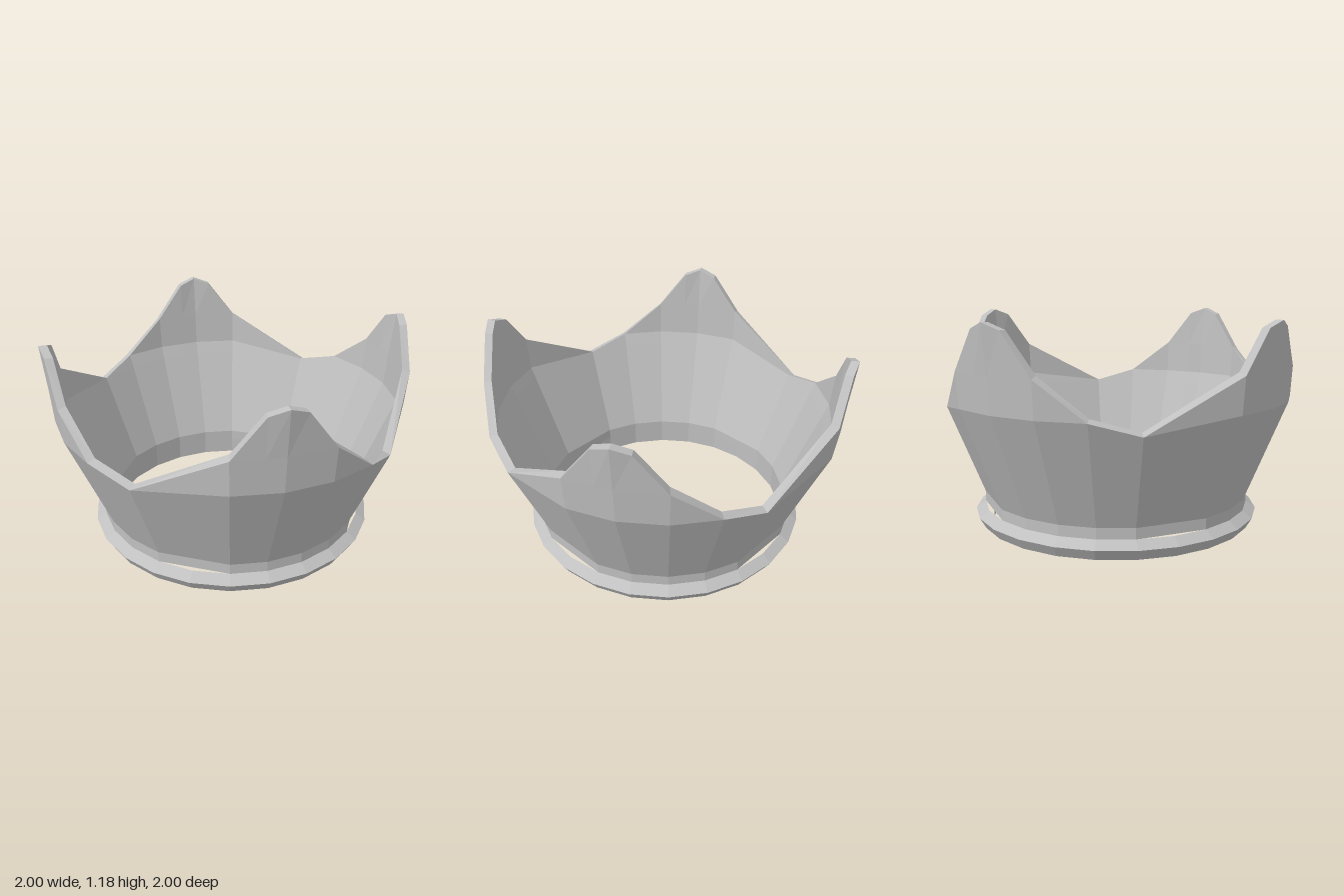
import * as THREE from 'three';

const WALL = 0.045;
const ROWS = [0.1, 0.16, 0.665, 0.735, 0.93, 1.185];
// wall outline: height, outer radius
const PROFILE = [[0.1, 0.77], [0.16, 0.77], [0.665, 0.972], [0.735, 1.0], [0.93, 1.015], [1.15, 1.03], [1.185, 1.04]];
// one point of the crown: angle from its peak in degrees, rim height
const POINT = [[-15, 0.93], [-5.5, 1.15], [0, 1.185], [5.5, 1.15], [15, 0.93], [30, 0.735], [45, 0.665]];

function radiusAt(y) {
  for (let i = 1; i < PROFILE.length; i++) {
    const [y0, r0] = PROFILE[i - 1], [y1, r1] = PROFILE[i];
    if (y <= y1 + 1e-6) return r0 + (r1 - r0) * (y - y0) / (y1 - y0);
  }
  return PROFILE[PROFILE.length - 1][1];
}

function wallGeometry() {
  const outer = [], inner = [];
  for (let k = 0; k < 4; k++) {
    for (const [offset, top] of POINT) {
      const a = THREE.MathUtils.degToRad(-30 + 90 * k + offset);
      // columns between the 24 main ones lie on the straight facet
      const flat = Math.abs(offset) === 5.5 ? 0.992 : 1;
      const column = (inset, lift) => ROWS.map((row) => {
        const y = Math.min(row, top);
        const r = radiusAt(y) * flat - inset;
        const up = y > 0.2 && y < 1 ? lift : 0;
        return new THREE.Vector3(r * Math.sin(a), y + up, r * Math.cos(a));
      });
      outer.push(column(0, 0));
      inner.push(column(WALL, 0.014));
    }
  }
  const positions = [];
  const tri = (a, b, c) => {
    if (a.distanceTo(b) < 1e-5 || b.distanceTo(c) < 1e-5 || c.distanceTo(a) < 1e-5) return;
    for (const p of [a, b, c]) positions.push(p.x, p.y, p.z);
  };
  const quad = (a, b, c, d) => { tri(a, b, c); tri(a, c, d); };
  const last = ROWS.length - 1;
  for (let i = 0; i < outer.length; i++) {
    const n = (i + 1) % outer.length;
    for (let j = 0; j < last; j++) {
      quad(outer[i][j], outer[n][j], outer[n][j + 1], outer[i][j + 1]);
      quad(inner[n][j], inner[i][j], inner[i][j + 1], inner[n][j + 1]);
    }
    // rim joining the two sides
    quad(outer[i][last], outer[n][last], inner[n][last], inner[i][last]);
  }
  const geometry = new THREE.BufferGeometry();
  geometry.setAttribute('position', new THREE.Float32BufferAttribute(positions, 3));
  geometry.computeVertexNormals();
  return geometry;
}

export function createModel() {
  const group = new THREE.Group();
  group.name = 'crown';
  const grey = new THREE.MeshStandardMaterial({ color: 0xc0c0c0, flatShading: true });
  grey.name = 'grey';

  // flared wall with four points
  const wall = new THREE.Mesh(wallGeometry(), grey);
  wall.name = 'pointedWall';
  group.add(wall);

  // bevelled band around the foot
  const profile = [[0.725, 0.1], [0.725, 0], [0.79, 0], [0.825, 0.06], [0.77, 0.1]];
  const band = new THREE.Mesh(
    new THREE.LatheGeometry(profile.map(([r, y]) => new THREE.Vector2(r, y)), 24), grey);
  band.name = 'baseBand';
  group.add(band);
  return group;
}
